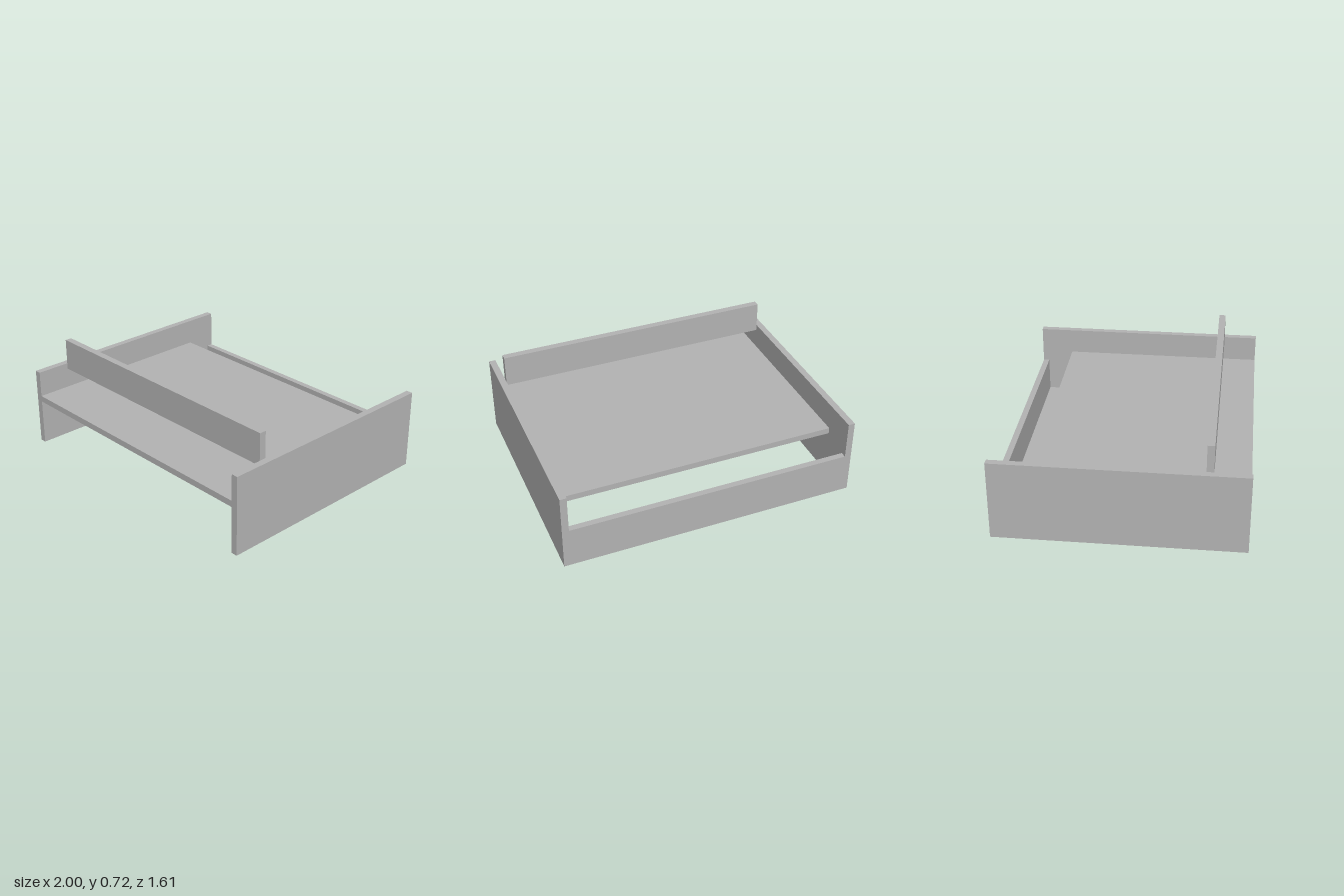
import * as THREE from 'three';

export function createModel() {
  const model = new THREE.Group();
  model.name = 'bedFrame';
  const grey = new THREE.MeshStandardMaterial({ color: 0xb3b3b3 });
  grey.name = 'plain grey';

  // A board given by its lower and upper limits on each axis
  function board(name, [x0, x1], [y0, y1], [z0, z1]) {
    const mesh = new THREE.Mesh(new THREE.BoxGeometry(x1 - x0, y1 - y0, z1 - z0), grey);
    mesh.position.set((x0 + x1) / 2, (y0 + y1) / 2, (z0 + z1) / 2);
    mesh.name = name;
    model.add(mesh);
  }

  const depth = 0.806; // half depth
  const inner = 0.955; // inner face of the side panels
  const across = [-inner, inner];

  // Side panels
  board('leftSidePanel', [inner, 1], [0, 0.538], [-depth, depth]);
  board('rightSidePanel', [-1, -inner], [0, 0.538], [-depth, depth]);

  // Back panel with the floor strip in front of it
  board('backPanel', across, [0, 0.28], [-depth, -0.765]);
  board('floorStrip', across, [0, 0.043], [-0.765, -0.583]);

  // Main shelf, flush with the front and short of the back panel
  board('shelf', across, [0.318, 0.36], [-0.583, depth]);

  // Raised rail near the front
  board('frontRail', [-0.951, 0.951], [0.5, 0.717], [0.529, 0.575]);

  return model;
}
